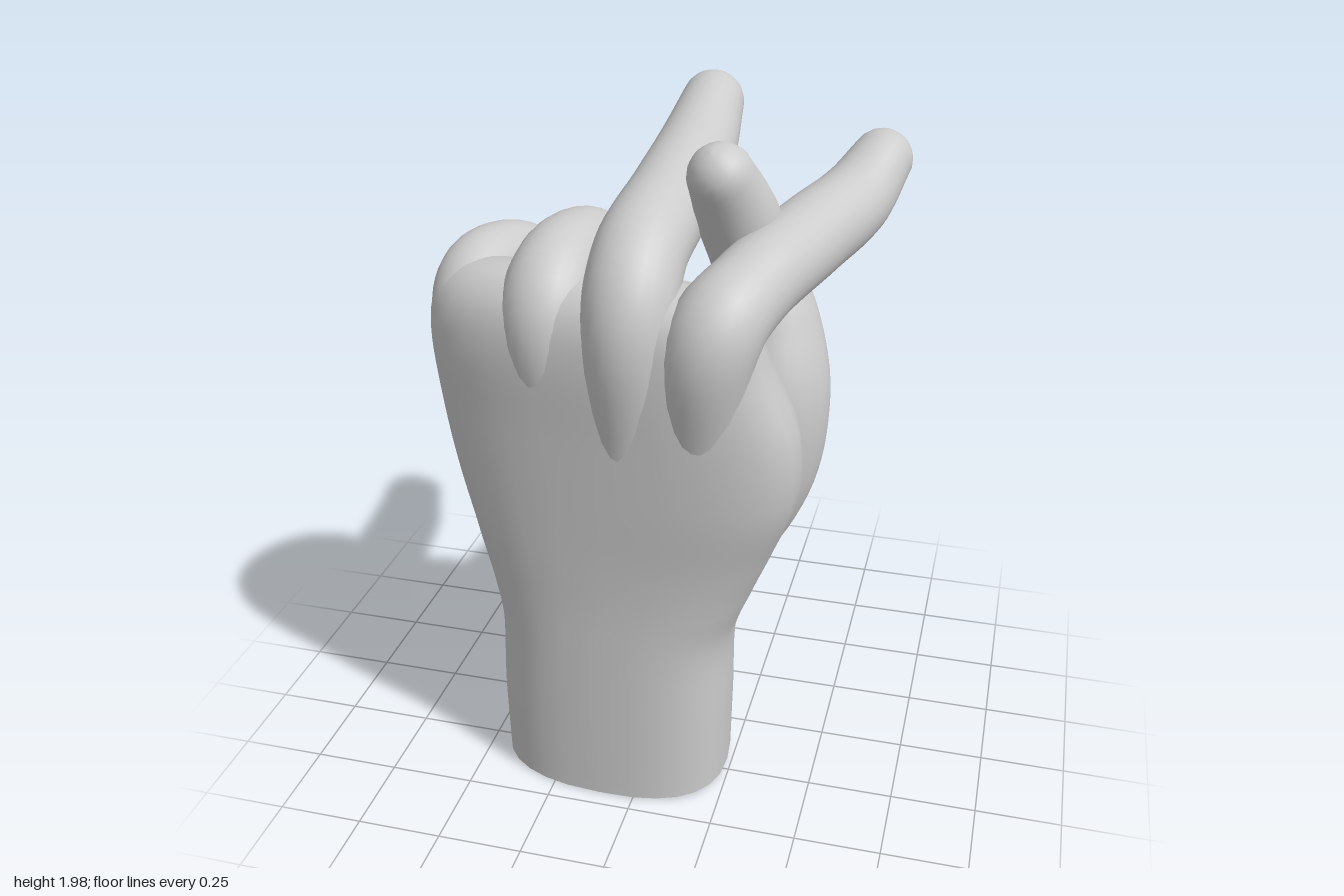
import * as THREE from 'three';

const SIDES = 28;
const material = new THREE.MeshStandardMaterial({ color: 0xcccccc });

// Skin a closed surface over a list of rings, each holding SIDES points
function skin(name, rings) {
  const pos = [], index = [];
  rings.forEach(ring => ring.forEach(p => pos.push(p.x, p.y, p.z)));
  for (let i = 0; i < rings.length - 1; i++) {
    for (let j = 0; j < SIDES; j++) {
      const k = (j + 1) % SIDES;
      const a = i * SIDES + j, b = i * SIDES + k;
      index.push(a, b, b + SIDES, a, b + SIDES, a + SIDES);
    }
  }
  const geo = new THREE.BufferGeometry();
  geo.setAttribute('position', new THREE.Float32BufferAttribute(pos, 3));
  geo.setIndex(index);
  geo.computeVertexNormals();
  const mesh = new THREE.Mesh(geo, material);
  mesh.name = name;
  return mesh;
}

const spline = pts => new THREE.CatmullRomCurve3(pts, false, 'catmullrom', 0.5);

// Round-ended tapering tube through [x, y, z, radius] points
function limb(name, pts) {
  const path = spline(pts.map(p => new THREE.Vector3(p[0], p[1], p[2])));
  const radius = spline(pts.map(p => new THREE.Vector3(p[3], 0, 0)));
  const rings = [];
  const addRing = (t, phi) => {
    const c = path.getPoint(t), dir = path.getTangent(t), r = radius.getPoint(t).x;
    const side = new THREE.Vector3(1, 0, 0).addScaledVector(dir, -dir.x).normalize();
    const up = dir.clone().cross(side);
    c.addScaledVector(dir, r * Math.sin(phi));
    rings.push(Array.from({ length: SIDES }, (_, j) => {
      const a = j / SIDES * Math.PI * 2, q = r * Math.cos(phi);
      return c.clone().addScaledVector(side, q * Math.cos(a)).addScaledVector(up, q * Math.sin(a));
    }));
  };
  const steps = (pts.length - 1) * 7, cap = 6;
  for (let i = 0; i < cap; i++) addRing(0, (i / cap - 1) * Math.PI / 2);
  for (let i = 0; i <= steps; i++) addRing(i / steps, 0);
  for (let i = 1; i <= cap; i++) addRing(1, i / cap * Math.PI / 2);
  return skin(name, rings);
}

// Wrist and palm: [y, x right, x left, z right, z left, half depth right, half depth left]
function palm() {
  const sections = [
    [0.01, -0.45, 0.24, 0.22, 0.22, 0.22, 0.24],
    [0.25, -0.455, 0.245, 0.22, 0.22, 0.22, 0.24],
    [0.50, -0.45, 0.25, 0.22, 0.22, 0.22, 0.24],
    [0.65, -0.475, 0.30, 0.22, 0.22, 0.22, 0.24],
    [0.80, -0.515, 0.36, 0.22, 0.23, 0.22, 0.24],
    [1.00, -0.565, 0.43, 0.22, 0.26, 0.21, 0.24],
    [1.20, -0.60, 0.43, 0.22, 0.29, 0.20, 0.23],
    [1.40, -0.62, 0.36, 0.22, 0.33, 0.19, 0.20],
    [1.52, -0.60, 0.32, 0.22, 0.35, 0.16, 0.17],
    [1.59, -0.52, 0.26, 0.23, 0.35, 0.10, 0.12],
    [1.62, -0.36, 0.16, 0.26, 0.34, 0.02, 0.03],
  ];
  const column = (a, b, c) => spline(sections.map(s => new THREE.Vector3(s[a], s[b], s[c])));
  const widths = column(0, 1, 2), centres = column(0, 3, 4), depths = column(0, 5, 6);
  const pow = v => Math.sign(v) * Math.abs(v) ** 0.8;
  const lerp = THREE.MathUtils.lerp;
  const rings = [];
  for (let i = 0; i <= 60; i++) {
    const w = widths.getPoint(i / 60), c = centres.getPoint(i / 60), d = depths.getPoint(i / 60);
    rings.push(Array.from({ length: SIDES }, (_, j) => {
      const a = j / SIDES * Math.PI * 2;
      const u = 0.5 + 0.5 * pow(Math.cos(a));
      const z = lerp(c.y, c.z, u) - lerp(d.y, d.z, u) * pow(Math.sin(a));
      // The cut end of the wrist slopes up towards the palm side
      const tilt = 0.08 * (0.46 - z) * Math.max(0, 1 - w.x / 0.5);
      return new THREE.Vector3(lerp(w.y, w.z, u), w.x + tilt, z);
    }));
  }
  // Repeated rings give the wrist cut a sharp rim; both ends close to a point
  const point = ring => {
    const m = ring.reduce((s, p) => s.add(p), new THREE.Vector3()).divideScalar(SIDES);
    return ring.map(() => m);
  };
  return skin('palmAndWrist', [point(rings[0]), rings[0], ...rings, point(rings[60])]);
}

export function createModel() {
  const hand = new THREE.Group();
  hand.name = 'hand';
  hand.add(
    palm(),
    limb('indexFinger', [
      [0.17, 1.15, 0.36, 0.10], [0.21, 1.49, 0.40, 0.125], [0.28, 1.60, 0.26, 0.115],
      [0.38, 1.655, 0.0, 0.115], [0.47, 1.70, -0.21, 0.108], [0.53, 1.785, -0.355, 0.088],
    ]),
    limb('middleFinger', [
      [-0.02, 1.15, 0.37, 0.10], [-0.01, 1.50, 0.395, 0.125], [-0.01, 1.67, 0.28, 0.125],
      [0.0, 1.735, 0.0, 0.122], [0.01, 1.80, -0.25, 0.115], [0.015, 1.895, -0.445, 0.092],
    ]),
    limb('ringFinger', [
      [-0.23, 1.15, 0.32, 0.10], [-0.25, 1.48, 0.335, 0.125], [-0.25, 1.595, 0.22, 0.12],
      [-0.23, 1.58, 0.02, 0.118], [-0.20, 1.48, -0.06, 0.118], [-0.19, 1.36, -0.05, 0.115],
      [-0.20, 1.31, 0.06, 0.10],
    ]),
    limb('littleFinger', [
      [-0.44, 1.15, 0.23, 0.10], [-0.49, 1.43, 0.235, 0.12], [-0.505, 1.53, 0.14, 0.11],
      [-0.46, 1.525, -0.01, 0.105], [-0.41, 1.45, -0.085, 0.105], [-0.37, 1.34, -0.06, 0.10],
      [-0.35, 1.30, 0.05, 0.09],
    ]),
    // Thumb rises from the fleshy mound and pokes up between the first two fingers
    limb('thumb', [
      [0.06, 0.62, 0.19, 0.12], [0.18, 0.82, 0.10, 0.175], [0.27, 1.02, 0.09, 0.185],
      [0.31, 1.24, 0.09, 0.17], [0.30, 1.42, 0.06, 0.14], [0.25, 1.58, 0.04, 0.115],
      [0.21, 1.74, 0.10, 0.11], [0.18, 1.865, 0.175, 0.09],
    ]),
  );
  return hand;
}
